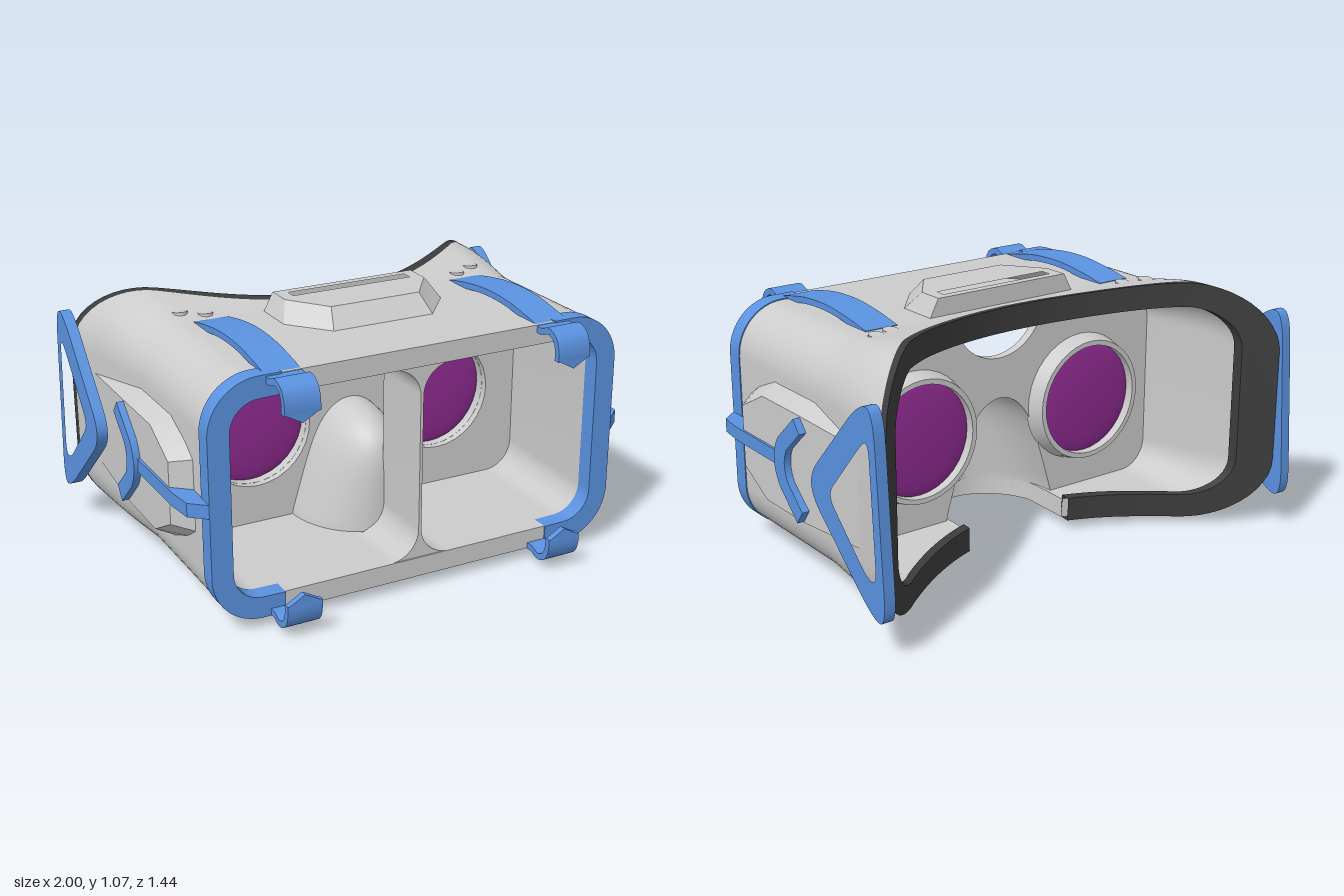
import * as THREE from 'three';
import { toCreasedNormals } from 'three/addons/utils/BufferGeometryUtils.js';
import { ConvexGeometry } from 'three/addons/geometries/ConvexGeometry.js';

const V = (x, y, z) => new THREE.Vector3(x, y, z);
const mat = (color, side = THREE.FrontSide) => new THREE.MeshStandardMaterial({ color, side });
const grey = mat(0xcccccc), greyThin = mat(0xcccccc, THREE.DoubleSide);
const dark = mat(0x3c3c3c, THREE.DoubleSide), blue = mat(0x5a92e0), purple = mat(0x8e2a90);

// Surface through rows of points; closeRows joins last row to first, closeCols does so along a row
function grid(rows, closeRows, closeCols, skip = () => false) {
  const R = rows.length, C = rows[0].length, pos = [], idx = [];
  rows.forEach(row => row.forEach(p => pos.push(p.x, p.y, p.z)));
  for (let i = 0; i < (closeRows ? R : R - 1); i++)
    for (let j = 0; j < (closeCols ? C : C - 1); j++) {
      if (skip(j, (j + 1) % C)) continue;
      const a = i * C + j, b = ((i + 1) % R) * C + j;
      const c = i * C + (j + 1) % C, d = ((i + 1) % R) * C + (j + 1) % C;
      idx.push(a, b, c, c, b, d);
    }
  const g = new THREE.BufferGeometry();
  g.setAttribute('position', new THREE.Float32BufferAttribute(pos, 3));
  g.setIndex(idx);
  return g;
}

// Polygon with rounded corners
function roundedPoly(pts, r) {
  const s = new THREE.Path(), P = pts.map(p => new THREE.Vector2(...p)), n = P.length;
  P.forEach((p, i) => {
    const to = q => q.clone().sub(p).setLength(Math.min(r, q.distanceTo(p) * 0.48)).add(p);
    const a = to(P[(i + n - 1) % n]), b = to(P[(i + 1) % n]);
    i ? s.lineTo(a.x, a.y) : s.moveTo(a.x, a.y);
    s.quadraticCurveTo(p.x, p.y, b.x, b.y);
  });
  s.closePath();
  return new THREE.Shape(s.getPoints(8));
}
const extrude = (shape, depth, z) =>
  new THREE.ExtrudeGeometry(shape, { depth, bevelEnabled: false, curveSegments: 16 }).translate(0, 0, z);
// Shape given as (-z, y), extruded along x
const sideExtrude = (shape, x0, x1) => extrude(shape, x1 - x0, x0).rotateY(Math.PI / 2);
const sidePts = pts => pts.map(([z, y]) => [-z, y]);

// Mirror a geometry, keeping faces outward
function mirrored(geo, sx, sy = 1) {
  const g = geo.index ? geo.toNonIndexed() : geo.clone();
  g.scale(sx, sy, 1);
  const p = g.attributes.position, a = V(), b = V();
  for (let i = 0; i < p.count; i += 3) {
    a.fromBufferAttribute(p, i + 1); b.fromBufferAttribute(p, i + 2);
    p.setXYZ(i + 1, b.x, b.y, b.z); p.setXYZ(i + 2, a.x, a.y, a.z);
  }
  return g;
}

// Rules of the housing: face curve, nose opening and flared outline
const faceZ = x => -0.15 - 0.576 * x * x;
const NOSE = 0.27, GAP = 0.253, NOSE_DEPTH = 0.32, PLATE_Z = -0.03;
function outlinePoints() {
  const pts = [], xs = [-GAP - 1e-4, -GAP, GAP, GAP + 1e-4];
  for (let i = 1; i < 48; i++) xs.push(-0.67 + 1.34 * i / 48);
  xs.sort((a, b) => a - b);
  const side = (list, top, dy) => list.forEach(x => pts.push({ x, top, dx: 0, dy, gap: !top && Math.abs(x) <= GAP }));
  const corner = (x, top, a0) => {
    for (let i = 0; i <= 12; i++) {
      const a = a0 + i / 12 * Math.PI / 2;
      pts.push({ x, top, dx: Math.cos(a), dy: Math.sin(a), gap: false });
    }
  };
  side(xs, false, -1);
  corner(0.67, false, -Math.PI / 2);
  corner(0.67, true, 0);
  side([...xs].reverse(), true, 1);
  corner(-0.67, true, Math.PI / 2);
  corner(-0.67, false, Math.PI);
  return pts;
}
function wallPoint(p, inset, z) {
  const k = Math.max(0, -0.07 - z), e = Math.sin(Math.min(1, k / 0.36) ** 1.3 * Math.PI / 2);
  const R = 0.2 + 0.08 * Math.min(1, k / 0.55), r = R - inset;
  const cy = p.top ? 1 + 0.05 * e - R : 0.05 - 0.02 * e + R;
  return V(p.x + p.dx * r, cy + p.dy * r, z);
}
const backZ = (p, inset) => p.gap
  ? PLATE_Z + NOSE_DEPTH * Math.sqrt(1 - (p.x / NOSE) ** 2)
  : faceZ(p.x + p.dx * (0.28 - inset)) + 0.04;
const noseScale = y => Math.sqrt(Math.max(0, 1 - ((y - 0.05) / 0.55) ** 8));
const noseWidth = y => (NOSE - 0.3 * Math.max(0, y - 0.13)) * noseScale(y);

export function createModel() {
  const model = new THREE.Group();
  const add = (name, geo, material, crease = 0.6) => {
    const m = new THREE.Mesh(toCreasedNormals(geo, crease), material);
    m.name = name;
    model.add(m);
  };
  const both = (name, geo, material) => {
    add(name + 'Left', geo, material);
    add(name + 'Right', mirrored(geo, -1), material);
  };

  // Housing: outer wall, back edge, inner wall and front lip
  const pts = outlinePoints(), STEPS = 10;
  const wallRows = inset => {
    const rows = [pts.map(p => wallPoint(p, inset, 0.57))];
    for (let i = 0; i <= STEPS; i++)
      rows.push(pts.map(p => {
        const end = backZ(p, inset), start = Math.max(-0.07, end);
        return wallPoint(p, inset, start + (end - start) * i / STEPS);
      }));
    return rows;
  };
  add('housing', grid([...wallRows(0), ...wallRows(0.08).reverse()], true, true), grey, 0.5);

  // Dark face cushion, open at the nose
  const rimRow = (inset, dz) => pts.map(p => wallPoint(p, inset, backZ(p, inset) + dz));
  add('faceCushion', grid([rimRow(0, 0), rimRow(0, -0.04), rimRow(0.1, -0.04), rimRow(0.1, 0)],
    true, true, (j, k) => pts[j].gap || pts[k].gap), dark);

  // Lens plate with nose arch, forehead notch and lens holes
  const plate = new THREE.Shape();
  plate.moveTo(-0.8, 0.12);
  for (let i = 0; i <= 40; i++) {
    const a = Math.PI * i / 40, y = 0.12 + 0.48 * Math.sin(a);
    plate.lineTo(-Math.sign(Math.cos(a)) * noseWidth(y), y);
  }
  plate.lineTo(0.8, 0.12).lineTo(0.8, 0.93).lineTo(0.212, 0.93);
  plate.absarc(0, 0.99, 0.22, -0.276, -Math.PI + 0.276, true);
  plate.lineTo(-0.8, 0.93);
  for (const s of [-1, 1])
    plate.holes.push(new THREE.Path().absarc(s * 0.42, 0.525, 0.235, 0, Math.PI * 2));
  add('lensPlate', extrude(plate, 0.04, PLATE_Z - 0.02), grey);

  // Nose dome
  const noseRows = [];
  for (let i = 0; i <= 24; i++) {
    const y = 0.05 + 0.55 * Math.sin(i / 24 * Math.PI / 2), row = [];
    for (let j = 0; j <= 24; j++) {
      const a = Math.PI * j / 24;
      row.push(V(noseWidth(y) * Math.cos(a), y, PLATE_Z + NOSE_DEPTH * noseScale(y) * Math.sin(a)));
    }
    noseRows.push(row);
  }
  add('noseDome', grid(noseRows.reverse(), false, false), greyThin, 1);

  // Divider between the eyes, filleted into floor and ceiling
  const f = 0.12, t = 0.006, divider = new THREE.Shape();
  divider.moveTo(-t - f, 0.125).lineTo(t + f, 0.125).lineTo(t + f, 0.13);
  divider.absarc(t + f, 0.13 + f, f, -Math.PI / 2, -Math.PI, true);
  divider.absarc(t + f, 0.92 - f, f, Math.PI, Math.PI / 2, true);
  divider.lineTo(t + f, 0.925).lineTo(-t - f, 0.925);
  divider.absarc(-t - f, 0.92 - f, f, Math.PI / 2, 0, true);
  divider.absarc(-t - f, 0.13 + f, f, 0, -Math.PI / 2, true);
  add('divider', extrude(divider, 0.285, 0.28), grey);

  // Lenses and their tapered rings
  const ring = new THREE.LatheGeometry([[0.234, 0.03], [0.275, 0.03], [0.255, -0.05], [0.234, -0.05], [0.234, 0.03]]
    .map(([r, z]) => new THREE.Vector2(r, -z)).reverse(), 40);
  both('lensRing', ring.rotateX(-Math.PI / 2).translate(0.42, 0.525, -0.07), greyThin);
  both('lens', new THREE.SphereGeometry(0.235, 32, 16).scale(1, 1, 0.1).translate(0.42, 0.525, -0.08), purple);

  // Front frame halves
  const frame = new THREE.Shape();
  frame.moveTo(0.58, 1.004).lineTo(0.67, 1.004).absarc(0.67, 0.8, 0.204, Math.PI / 2, 0, true);
  frame.absarc(0.67, 0.25, 0.204, 0, -Math.PI / 2, true).lineTo(0.58, 0.046).lineTo(0.58, 0.13);
  frame.absarc(0.67, 0.25, 0.118, -Math.PI / 2, 0, false);
  frame.absarc(0.67, 0.8, 0.118, 0, Math.PI / 2, false).lineTo(0.58, 0.92);
  both('frontFrame', extrude(frame, 0.073, 0.502), blue);

  // Raised side panels, fading into the flared wall
  const panel = (x, list) => list.map(([z, y, dx = 0]) => V(x + dx, y, z));
  both('sidePanel', new ConvexGeometry([
    ...panel(0.86, [[0.435, 0.67], [0.435, 0.38], [0.36, 0.33], [0.22, 0.27], [-0.07, 0.27], [-0.46, 0.3],
      [-0.46, 0.745], [-0.07, 0.775], [0.23, 0.775], [0.36, 0.72]]),
    ...panel(0.942, [[0.365, 0.65], [0.365, 0.4], [0.2, 0.31], [-0.07, 0.31], [-0.47, 0.335, -0.018],
      [-0.47, 0.715, -0.018], [-0.07, 0.735], [0.2, 0.735]])]), grey);

  // Side strip, curved clip and triangular strap loop
  const strip = new THREE.Shape([[0.85, 0.575], [0.875, 0.575], [0.938, 0.52], [0.95, 0.42], [0.953, 0.03],
    [0.91, 0.03], [0.85, 0.33]].map(([x, z]) => new THREE.Vector2(x, -z)));
  both('sideStrip', extrude(strip, 0.055, 0).rotateX(-Math.PI / 2).translate(0, 0.495, 0), blue);
  const clip = new THREE.Shape().moveTo(0.08, 0.73).lineTo(-0.04, 0.625);
  clip.quadraticCurveTo(-0.115, 0.525, -0.04, 0.425).lineTo(0.08, 0.315).lineTo(0.12, 0.37);
  clip.lineTo(0.02, 0.46).quadraticCurveTo(-0.02, 0.525, 0.02, 0.59).lineTo(0.12, 0.68);
  both('sideClip', sideExtrude(clip, 0.935, 0.97), blue);
  const loop = roundedPoly(sidePts([[-0.2, 0.535], [-0.585, 0.94], [-0.67, 0.935], [-0.723, 0.155], [-0.64, 0.155]]), 0.13);
  loop.holes.push(roundedPoly(sidePts([[-0.36, 0.535], [-0.61, 0.81], [-0.638, 0.8], [-0.668, 0.3], [-0.61, 0.3]]), 0.06));
  both('strapLoop', sideExtrude(loop, 0.955, 1), blue);

  // Top pad: sloped skirt and a cover with a slot
  const outline = (w, z, y) => [[-w, -0.07], [w, -0.07], [w, z - 0.16], [w * 0.62, z], [-w * 0.62, z], [-w, z - 0.16]]
    .map(([x, d]) => V(x, y, d));
  add('topPadSkirt', grid([outline(0.35, 0.27, 0.998), outline(0.31, 0.2, 1.073)], false, true), greyThin, 0.2);
  const cover = new THREE.Shape(outline(0.31, 0.2, 0).map(p => new THREE.Vector2(p.x, -p.z)));
  cover.holes.push(new THREE.Path([[-0.26, -0.01], [-0.26, 0.035], [0.26, 0.035], [0.26, -0.01]]
    .map(p => new THREE.Vector2(...p))));
  add('topPadCover', extrude(cover, 0.03, 1.043).rotateX(-Math.PI / 2), grey);

  // Straps with hooked front ends, above and below
  const curve = new THREE.CatmullRomCurve3([[-0.07, 0.99], [0.05, 1.012], [0.2, 1.028], [0.36, 1.023], [0.5, 1],
    [0.595, 0.982], [0.645, 0.998], [0.69, 0.975], [0.706, 0.93], [0.706, 0.895]].map(([z, y]) => V(-z, y, 0)));
  const outer = [], inner = [];
  for (let i = 0; i <= 48; i++) {
    const p = curve.getPointAt(i / 48), d = curve.getTangentAt(i / 48);
    outer.push(new THREE.Vector2(p.x - d.y * 0.013, p.y + d.x * 0.013));
    inner.unshift(new THREE.Vector2(p.x + d.y * 0.013, p.y - d.x * 0.013));
  }
  const strap = sideExtrude(new THREE.Shape([...outer, ...inner]), 0.5, 0.642);
  const tip = extrude(new THREE.Shape([[0.5, 0.9], [0.571, 0.86], [0.642, 0.9]]
    .map(p => new THREE.Vector2(...p))), 0.026, 0.693);
  for (const [name, geo] of [['Strap', strap], ['HookTip', tip]]) {
    both('top' + name, geo, blue);
    both('bottom' + name, mirrored(geo, 1, -1).translate(0, 1.045, 0), blue);
  }

  // Small studs, almost flush with the top
  for (const [x, z, y] of [[0.57, -0.13, 0.997], [0.66, -0.17, 1.004]])
    both('stud', new THREE.CylinderGeometry(0.03, 0.03, 0.03, 20).rotateX(-0.12).translate(x, y, z), grey);

  return model;
}
